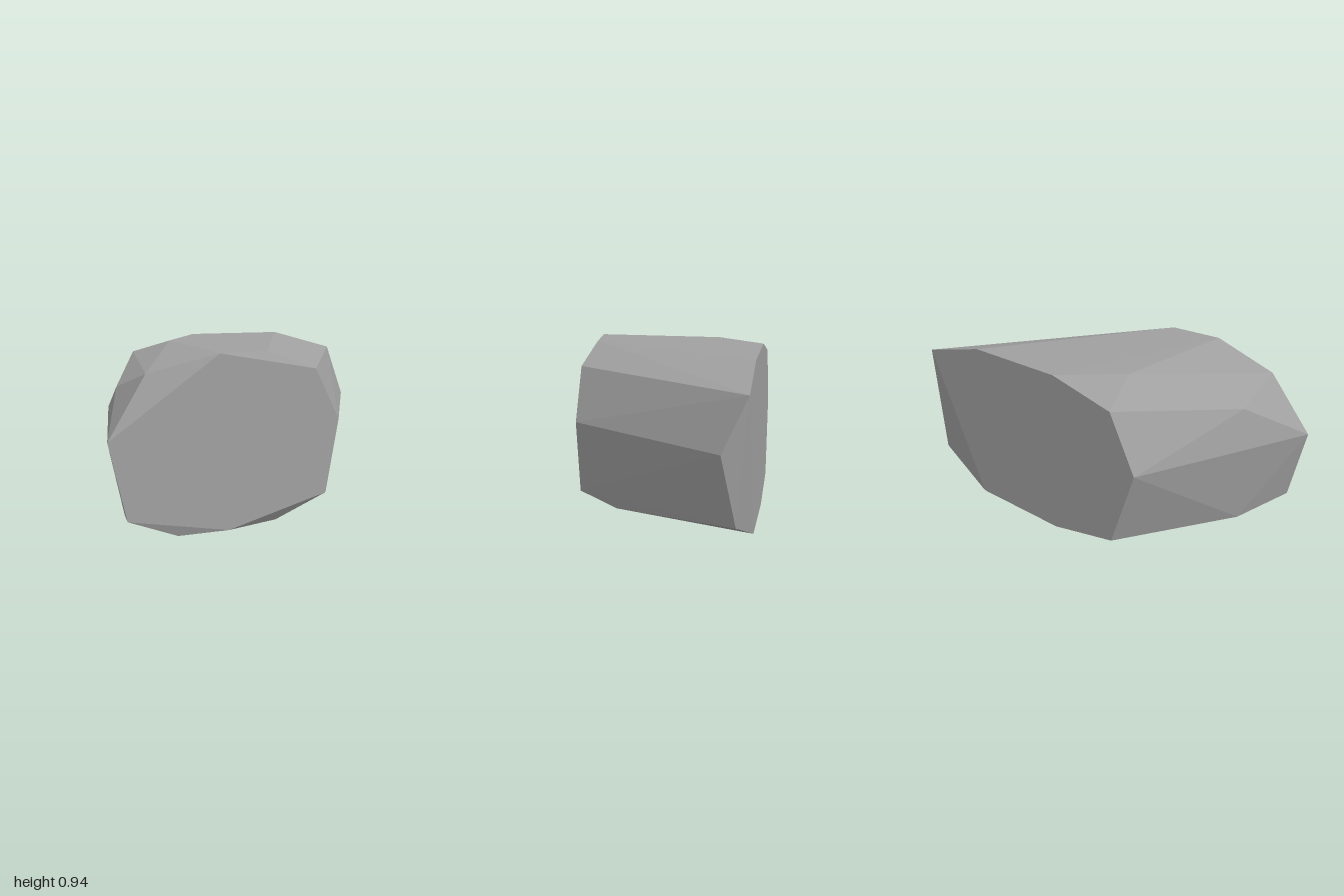
import * as THREE from 'three';
import { ConvexGeometry } from 'three/addons/geometries/ConvexGeometry.js';

export function createModel() {
  const group = new THREE.Group();
  group.name = 'facetedStone';
  const stone = new THREE.MeshStandardMaterial({ color: 0xa0a0a0 });
  stone.name = 'stone grey';

  // Corner ring around the front face
  const front = [
    [-1, 0.54, 0.5], [-0.77, 0.86, 0.455], [-0.37, 0.945, 0.5], [-0.07, 0.94, 0.47],
    [0.22, 0.83, 0.5], [0.375, 0.54, 0.5], [0.295, 0.13, 0.5], [0, 0.002, 0.45],
    [-0.32, 0, 0.5], [-0.61, 0.005, 0.48], [-0.9, 0.125, 0.5],
  ];
  // Corner ring around the back face, sheared towards +x
  const back = [
    [0.975, 0.815, -0.5], [0.57, 0.93, -0.5], [-0.02, 0.945, -0.5], [-0.42, 0.86, -0.5],
    [-0.585, 0.54, -0.5], [-0.43, 0.09, -0.5], [-0.015, 0.005, -0.5], [0.58, 0.01, -0.5],
    [0.97, 0.155, -0.44], [1, 0.525, -0.365],
  ];
  // Chipped corners along the sides
  const chips = [
    [-0.8, 0.76, 0.15], [-0.31, 0.945, -0.22], [-0.78, 0.065, 0.18],
    [-0.36, 0.004, -0.16], [0.45, 0.08, 0.26],
  ];

  const points = [...front, ...back, ...chips].map((p) => new THREE.Vector3(...p));
  const body = new THREE.Mesh(new ConvexGeometry(points), stone);
  body.name = 'stoneBody';
  group.add(body);
  return group;
}
